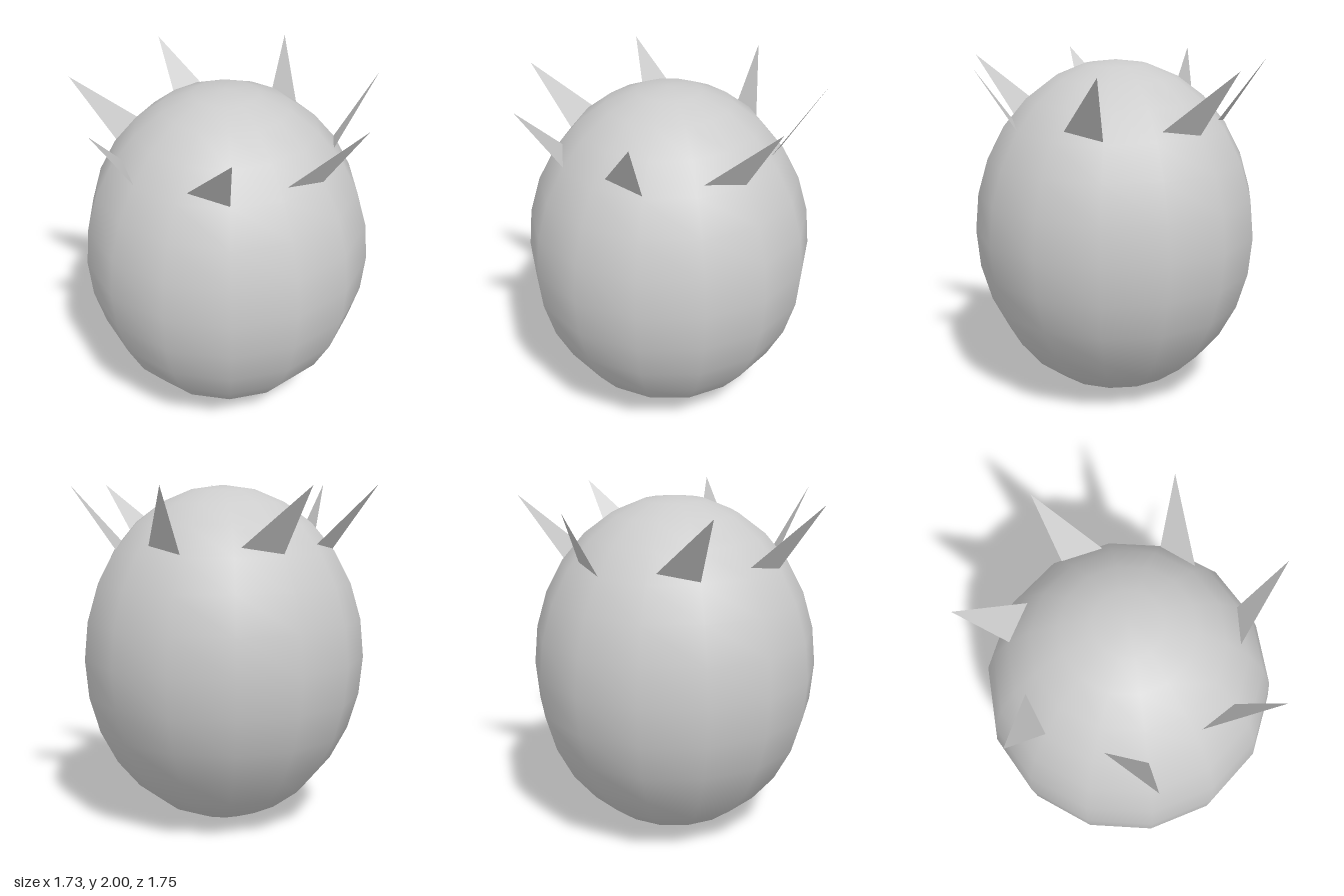
import * as THREE from 'three';

export function createModel() {
  const group = new THREE.Group();
  const grey = new THREE.MeshStandardMaterial({ color: 0xcccccc, side: THREE.DoubleSide });
  grey.name = 'plain grey';

  // Smooth-shaded ellipsoid with a low-poly outline
  const centreX = -0.035;
  const body = new THREE.Mesh(new THREE.SphereGeometry(1, 14, 14), grey);
  body.name = 'body';
  body.scale.set(0.835, 0.9975, 0.835);
  body.position.set(centreX, 1.0025, 0);
  group.add(body);

  // Flat triangular spike leaning outward, its base sunk into the body
  const tip = new THREE.Vector3(0.895, 2, 0);
  const sink = (x, y, z) => new THREE.Vector3(x, y, z).sub(tip).multiplyScalar(1.1).add(tip);
  const spikeGeometry = new THREE.BufferGeometry().setFromPoints([
    tip, sink(0.645, 1.637, 0), sink(0.57, 1.68, 0.215),
  ]);
  spikeGeometry.setIndex([0, 2, 1]);
  spikeGeometry.computeVertexNormals();

  // Ring of seven spikes
  const crown = new THREE.Group();
  crown.name = 'spikes';
  crown.position.x = centreX;
  for (let i = 0; i < 7; i++) {
    const spike = new THREE.Mesh(spikeGeometry, grey);
    spike.name = 'spike';
    spike.rotation.y = -(i / 7) * Math.PI * 2;
    crown.add(spike);
  }
  group.add(crown);
  return group;
}
